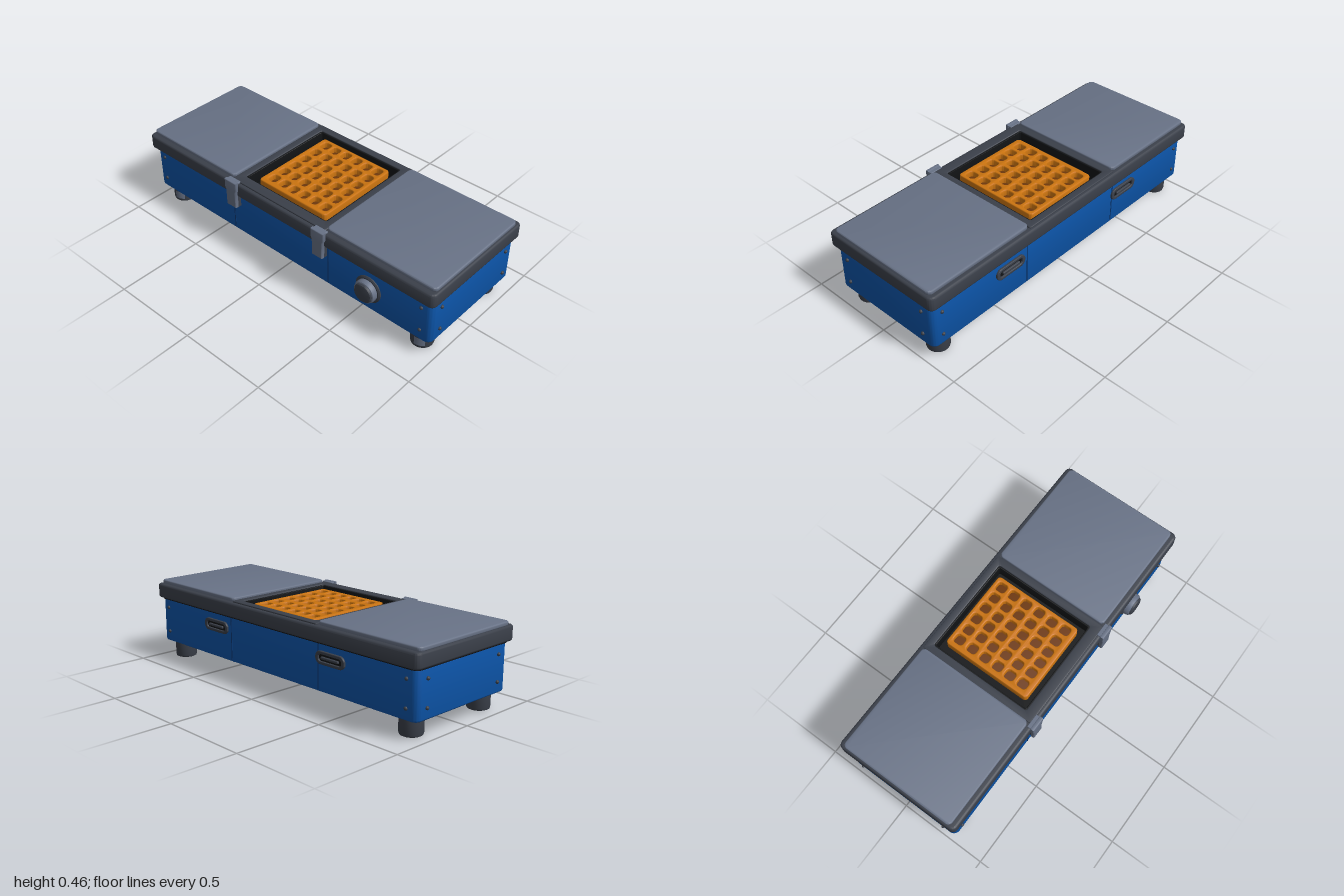
import * as THREE from 'three';
import { toCreasedNormals } from 'three/addons/utils/BufferGeometryUtils.js';
import { RoundedBoxGeometry } from 'three/addons/geometries/RoundedBoxGeometry.js';

const paint = (name, color) => Object.assign(new THREE.MeshStandardMaterial({ color }), { name });

// Traces a rounded rectangle onto a shape or hole path
function roundRect(path, x0, x1, y0, y1, r) {
  path.moveTo(x0 + r, y0);
  path.lineTo(x1 - r, y0);
  path.absarc(x1 - r, y0 + r, r, -Math.PI / 2, 0);
  path.lineTo(x1, y1 - r);
  path.absarc(x1 - r, y1 - r, r, 0, Math.PI / 2);
  path.lineTo(x0 + r, y1);
  path.absarc(x0 + r, y1 - r, r, Math.PI / 2, Math.PI);
  path.lineTo(x0, y0 + r);
  path.absarc(x0 + r, y0 + r, r, Math.PI, Math.PI * 1.5);
  return path;
}

// Bevelled extrusion running from 0 to depth, keeping the outline size
function bevelled(shape, depth, bevel, curveSegments = 6) {
  const geo = new THREE.ExtrudeGeometry(shape, {
    depth: depth - 2 * bevel, bevelEnabled: true, bevelThickness: bevel,
    bevelSize: bevel, bevelOffset: -bevel, bevelSegments: 3, curveSegments,
  });
  geo.translate(0, 0, bevel);
  return toCreasedNormals(geo, 0.7);
}

// Horizontal slab given by x, z and y ranges, with optional holes [x0, x1, z0, z1, r]
function slab([x0, x1], [z0, z1], [y0, y1], r, bevel, holes = []) {
  const shape = roundRect(new THREE.Shape(), x0, x1, -z1, -z0, r);
  for (const [a, b, c, d, hr] of holes) shape.holes.push(roundRect(new THREE.Path(), a, b, -d, -c, hr));
  return bevelled(shape, y1 - y0, bevel).rotateX(-Math.PI / 2).translate(0, y0, 0);
}

export function createModel() {
  const blue = paint('body blue', 0x0c54a8);
  const seamBlue = paint('seam blue', 0x083a78);
  const dark = paint('dark grey', 0x3b404a);
  const grey = paint('lid grey', 0x687286);
  const black = paint('black', 0x111315);
  const orange = paint('waffle orange', 0xcb7410);
  const brown = paint('waffle brown', 0x6e380c);

  const model = new THREE.Group();
  function add(name, geo, mat, x = 0, y = 0, z = 0) {
    const mesh = new THREE.Mesh(geo, mat);
    mesh.name = name;
    mesh.position.set(x, y, z);
    model.add(mesh);
    return mesh;
  }
  const box = (w, h, d) => new THREE.BoxGeometry(w, h, d);

  // Casing with its panel seams
  add('body', slab([-0.98, 0.98], [-0.355, 0.327], [0.096, 0.352], 0.035, 0.01), blue);
  for (const x of [-0.345, 0.335]) {
    add('seamFront', box(0.007, 0.244, 0.004), seamBlue, x, 0.228, 0.327);
    add('seamBack', box(0.007, 0.244, 0.004), seamBlue, x, 0.228, -0.355);
    add('seamBottom', box(0.007, 0.004, 0.665), seamBlue, x, 0.096, -0.014);
  }
  add('gasket', slab([-0.985, 0.985], [-0.362, 0.335], [0.346, 0.358], 0.035, 0.002), black);

  // Rim around the cooking well
  const well = [-0.295, 0.275, -0.32, 0.277, 0.012];
  add('rim', slab([-1, 1], [-0.378, 0.354], [0.354, 0.436], 0.03, 0.012, [well]), dark);
  add('wellFrame', slab([-0.337, 0.318], [-0.36, 0.335], [0.43, 0.444], 0.01, 0.004, [well]), dark);
  add('wellFloor', box(0.58, 0.006, 0.606), black, -0.01, 0.361, -0.0215);
  const liner = [-0.287, 0.267, -0.312, 0.269, 0.01];
  add('wellLiner', slab([-0.297, 0.277], [-0.322, 0.279], [0.358, 0.438], 0.012, 0.002, [liner]), black);

  // Side lids
  for (const [x0, x1] of [[-0.99, -0.337], [0.318, 0.986]]) {
    add('lid', slab([x0, x1], [-0.352, 0.324], [0.433, 0.457], 0.025, 0.007), grey);
  }

  // Waffle: a grid of soft ridges over a darker base
  const pockets = [];
  for (let i = 0; i < 6; i++) {
    for (let j = 0; j < 6; j++) {
      const x = -0.186 + i * 0.0735 + 0.003 * Math.sin(i * 5 + j * 3);
      const z = -0.234 + j * 0.082 + 0.003 * Math.sin(i * 2 + j * 7);
      pockets.push([x - 0.026, x + 0.026, z - 0.029, z + 0.029, 0.018]);
    }
  }
  add('waffleBase', slab([-0.23, 0.22], [-0.277, 0.227], [0.363, 0.398], 0.02, 0.005), brown);
  add('waffleGrid', slab([-0.241, 0.23], [-0.286, 0.236], [0.37, 0.432], 0.02, 0.007, pockets), orange);

  // Feet with a grey patch at the front
  const footProfile = [[0, 0], [0.05, 0], [0.058, 0.004], [0.061, 0.014], [0.061, 0.1]]
    .map(([x, y]) => new THREE.Vector2(x, y));
  const footGeo = toCreasedNormals(new THREE.LatheGeometry(footProfile, 28), 0.7);
  const patchGeo = new THREE.CylinderGeometry(0.0622, 0.0622, 0.048, 10, 1, true, -0.1, 0.95);
  for (const x of [-0.882, 0.882]) {
    for (const z of [0.242, -0.27]) add('foot', footGeo, dark, x, 0, z);
    add('footPatch', patchGeo, grey, x, 0.045, 0.242).material.side = THREE.DoubleSide;
  }

  // Screws on the ends, front and back
  const screwGeo = new THREE.SphereGeometry(0.01, 12, 8);
  for (const s of [-1, 1]) {
    for (const y of [0.157, 0.299]) {
      for (const z of [0.252, -0.282]) add('endScrew', screwGeo, dark, s * 0.982, y, z);
      add('frontScrew', screwGeo, dark, s * 0.918, y + 0.004, 0.327);
      add('backScrew', screwGeo, dark, s * 0.918, y, -0.355);
    }
  }

  // Front latches: a tapered plate with a dark mount behind
  const latchShape = new THREE.Shape([[-0.034, 0.287], [0.034, 0.287], [0.035, 0.385], [0.042, 0.4],
    [0.042, 0.449], [-0.042, 0.449], [-0.042, 0.4], [-0.035, 0.385]].map(([x, y]) => new THREE.Vector2(x, y)));
  const latchGeo = bevelled(latchShape, 0.024, 0.006);
  for (const x of [-0.32, 0.297]) {
    add('latch', latchGeo, grey, x, 0, 0.349);
    add('latchHook', new RoundedBoxGeometry(0.08, 0.012, 0.03, 2, 0.004), grey, x, 0.441, 0.345);
    add('latchMount', box(0.056, 0.085, 0.03), dark, x, 0.322, 0.338);
  }

  // Control knob
  const knobPart = (points) => toCreasedNormals(
    new THREE.LatheGeometry(points.map(([r, h]) => new THREE.Vector2(r, h)), 32), 0.6).rotateX(Math.PI / 2);
  add('knobBase', knobPart([[0.078, 0], [0.078, 0.006], [0.07, 0.012], [0, 0.012]]), dark, 0.6, 0.226, 0.326);
  add('knobRing', knobPart([[0.064, 0], [0.065, 0.018], [0.06, 0.03], [0.05, 0.034]]), grey, 0.6, 0.226, 0.336);
  add('knobCap', knobPart([[0.055, 0], [0.055, 0.034], [0.05, 0.042], [0.04, 0.045], [0, 0.045]]), dark, 0.6, 0.226, 0.335);

  // Recessed grips on the back
  const gripShape = roundRect(new THREE.Shape(), -0.1, 0.1, -0.034, 0.034, 0.033);
  gripShape.holes.push(roundRect(new THREE.Path(), -0.08, 0.08, -0.018, 0.018, 0.017));
  const gripGeo = bevelled(gripShape, 0.014, 0.003);
  for (const x of [-0.435, 0.46]) {
    add('gripFrame', gripGeo, dark, x, 0.278, -0.367);
    add('gripSlot', box(0.165, 0.04, 0.006), black, x, 0.278, -0.355);
    add('gripBar', new RoundedBoxGeometry(0.12, 0.014, 0.014, 2, 0.005), dark, x, 0.278, -0.363);
  }
  return model;
}
